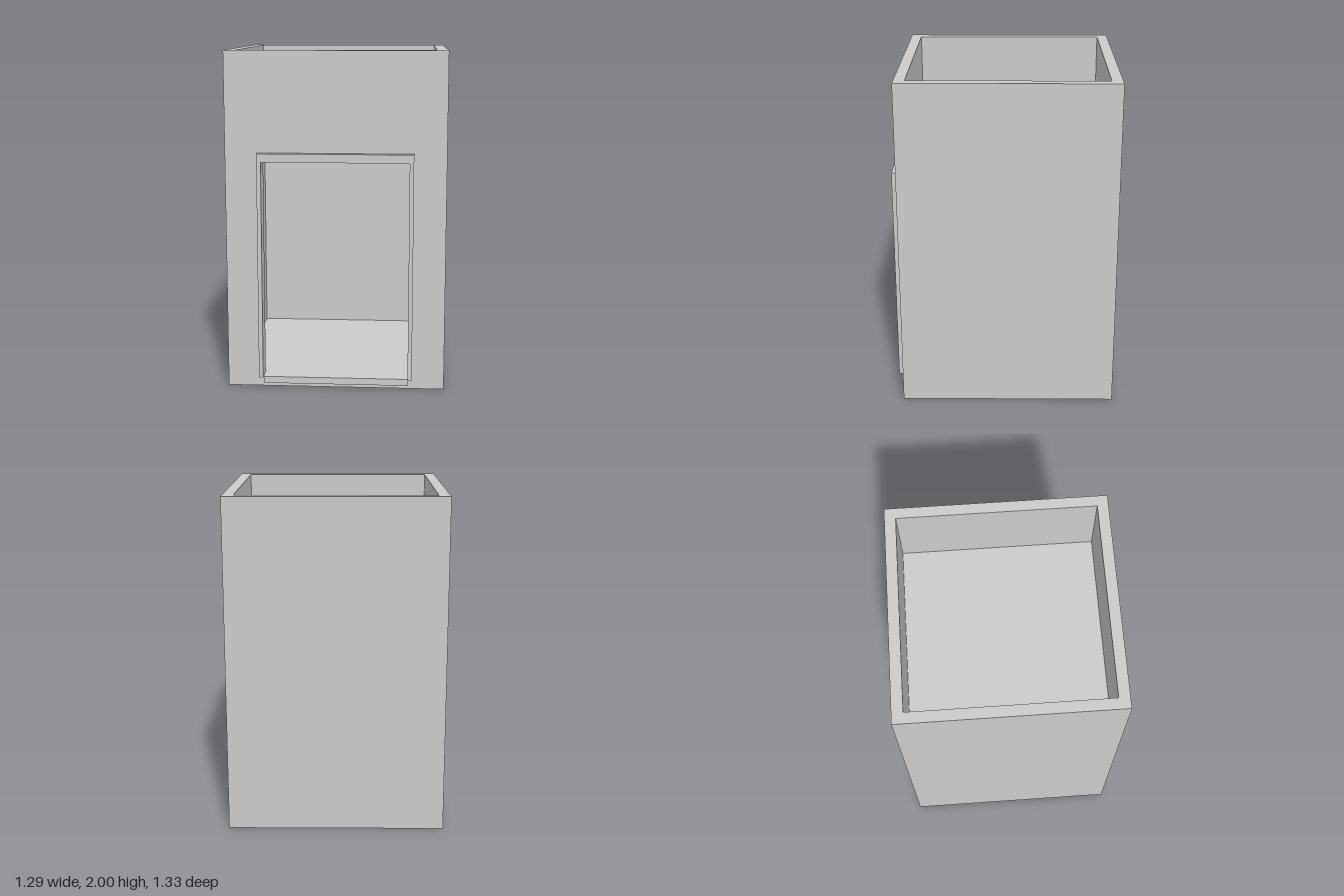
import * as THREE from 'three';

const material = new THREE.MeshStandardMaterial({ color: 0xcccccc, flatShading: true });

// Box given by its lower and upper corners
function box(name, [x0, y0, z0], [x1, y1, z1]) {
  const geometry = new THREE.BoxGeometry(x1 - x0, y1 - y0, z1 - z0);
  geometry.translate((x0 + x1) / 2, (y0 + y1) / 2, (z0 + z1) / 2);
  const mesh = new THREE.Mesh(geometry, material);
  mesh.name = name;
  return mesh;
}

function rectangle(Type, x0, y0, x1, y1) {
  return new Type([[x0, y0], [x1, y0], [x1, y1], [x0, y1]].map(([x, y]) => new THREE.Vector2(x, y)));
}

// Upright or flat plate extruded along z
function plate(name, shape, z0, z1) {
  const geometry = new THREE.ExtrudeGeometry(shape, { depth: z1 - z0, bevelEnabled: false });
  geometry.translate(0, 0, z0);
  const mesh = new THREE.Mesh(geometry, material);
  mesh.name = name;
  return mesh;
}

export function createModel() {
  const group = new THREE.Group();
  group.name = 'hut';

  const W = 0.645, H = 2, back = -0.665, front = 0.62, wall = 0.065;
  const doorW = 0.43, doorTop = 1.36, floorTop = 0.065;
  const inner = W - wall;

  // Front wall with the doorway cut through
  const frontShape = rectangle(THREE.Shape, -W, 0, W, H);
  frontShape.holes.push(rectangle(THREE.Path, -doorW, floorTop, doorW, doorTop));
  group.add(plate('frontWall', frontShape, front - wall, front));

  // Back and side walls
  group.add(box('backWall', [-W, 0, back], [W, H, back + wall]));
  group.add(box('rightWall', [-W, 0, back + wall], [-inner, H, front - wall]));
  group.add(box('leftWall', [inner, 0, back + wall], [W, H, front - wall]));

  // Floor, and the roof slab sunk below the parapet
  group.add(box('floor', [-inner, 0, back + wall], [inner, floorTop, front - wall]));
  group.add(box('roof', [-inner, 1.49, back + wall], [inner, 1.55, front - wall]));

  // Door frame: two jambs and a lintel, open at the bottom
  const frameW = 0.455, frameTop = 1.41, frameFront = 0.665;
  const frameShape = new THREE.Shape([
    [-frameW, floorTop], [-doorW, floorTop], [-doorW, doorTop], [doorW, doorTop],
    [doorW, floorTop], [frameW, floorTop], [frameW, frameTop], [-frameW, frameTop],
  ].map(([x, y]) => new THREE.Vector2(x, y)));
  group.add(plate('doorFrame', frameShape, front, frameFront));

  // Threshold step
  group.add(box('threshold', [-doorW, 0.025, front], [doorW, floorTop, 0.645]));

  return group;
}
